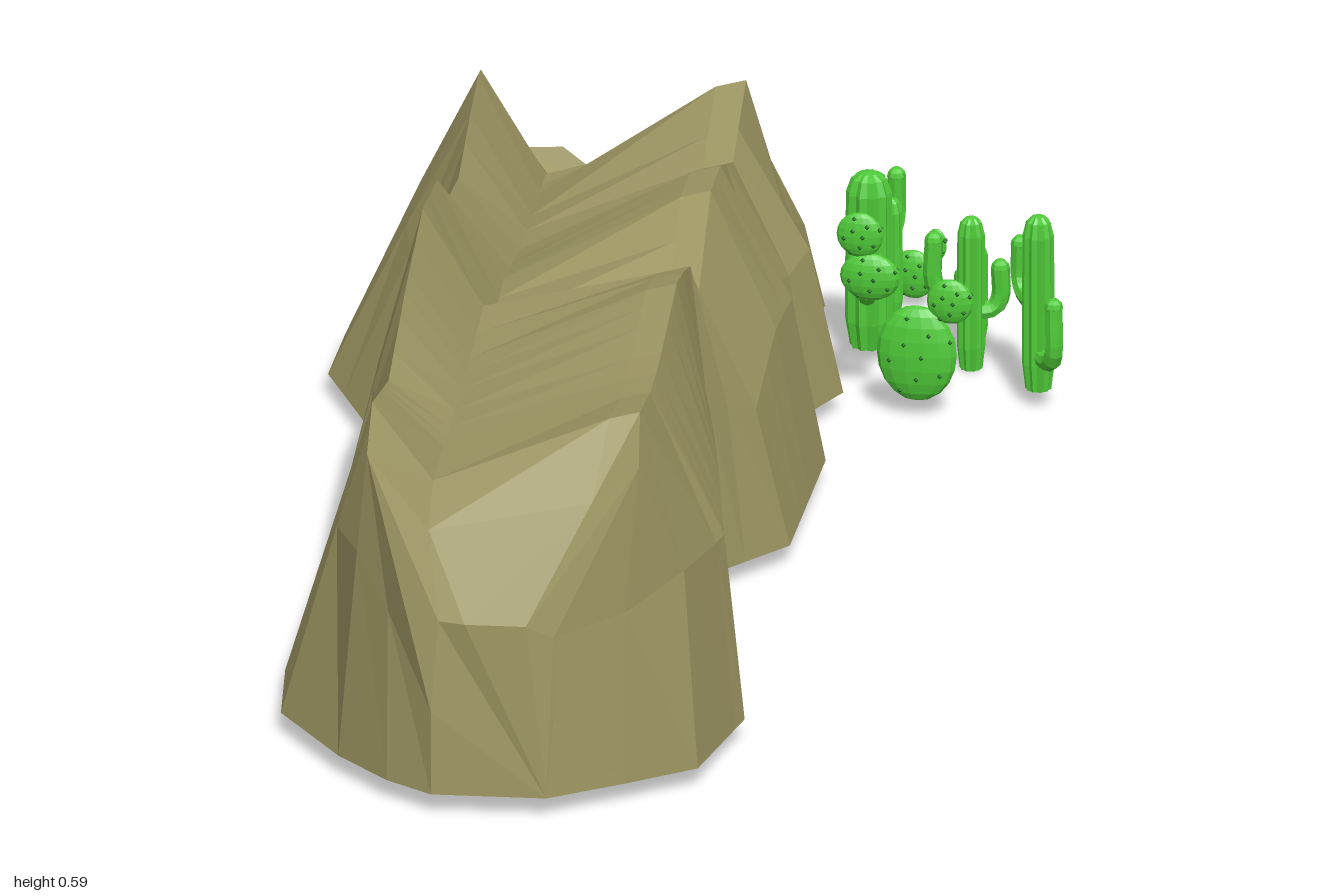
import * as THREE from 'three';

const rockMat = new THREE.MeshStandardMaterial({ color: 0xa09864, flatShading: true });
const greenMat = new THREE.MeshStandardMaterial({ color: 0x4fca38, flatShading: true });
const spotMat = new THREE.MeshStandardMaterial({ color: 0x1d6a1c });

// Piecewise linear lookup in a list of [s, value]
function at(keys, s) {
  if (s <= keys[0][0]) return keys[0][1];
  for (let i = 1; i < keys.length; i++) {
    const [a, va] = keys[i - 1], [b, vb] = keys[i];
    if (s <= b) return va + (vb - va) * (s - a) / (b - a);
  }
  return keys[keys.length - 1][1];
}

// Rock outline, ridge and gully heights along its diagonal axis (s along, t across)
const frontBase = [[-0.98, 0.23], [-0.78, 0.28], [-0.73, 0.21], [-0.55, 0.24], [-0.42, 0.22], [-0.21, 0.18],
  [-0.09, 0.28], [0.25, 0.3], [0.34, 0.21], [0.52, 0.3], [0.64, 0.23], [0.86, 0.24]];
const frontMid = [[-0.98, 0.21], [-0.78, 0.25], [-0.55, 0.22], [-0.21, 0.17], [-0.09, 0.23], [0.25, 0.25],
  [0.34, 0.2], [0.52, 0.25], [0.64, 0.2], [0.86, 0.21]];
const backBase = [[-0.98, -0.3], [-0.82, -0.4], [-0.65, -0.41], [-0.48, -0.29], [-0.32, -0.39], [-0.16, -0.39],
  [0.02, -0.29], [0.19, -0.38], [0.34, -0.39], [0.52, -0.46], [0.68, -0.45], [0.86, -0.28]];
const frontRidge = [[-0.98, 0.59], [-0.85, 0.56], [-0.7, 0.55], [-0.42, 0.57], [-0.23, 0.53], [-0.09, 0.42],
  [0.1, 0.51], [0.25, 0.49], [0.44, 0.42], [0.64, 0.47], [0.74, 0.36], [0.86, 0.27]];
const backRidge = [[-0.98, 0.59], [-0.73, 0.525], [-0.48, 0.565], [-0.21, 0.59], [0.02, 0.545], [0.19, 0.45],
  [0.34, 0.42], [0.52, 0.45], [0.67, 0.465], [0.74, 0.4], [0.86, 0.26]];
const gullyFloor = [[-0.98, 0.47], [-0.5, 0.44], [-0.21, 0.44], [-0.09, 0.36], [0.1, 0.36], [0.34, 0.31],
  [0.74, 0.27], [0.86, 0.21]];

function rockRows() {
  const stations = [...new Set([...frontBase, ...backBase, [0.1], [0.44], [0.74]].map(k => k[0]))].sort((a, b) => a - b);
  const rows = stations.map(s => {
    const b = at(backBase, s), fy = at(frontRidge, s), by = at(backRidge, s);
    return [[s, at(frontBase, s), 0.03], [s, at(frontMid, s), fy * 0.58], [s, 0.145, fy], [s, 0.1, fy - 0.012],
      [s, -0.16, at(gullyFloor, s)], [s, -0.25, by], [s, -0.25 + (b + 0.25) * 0.45, by * 0.6], [s, b, 0.03]];
  });
  // Broken ends where the gully opens
  rows.unshift(
    [[-1.12, 0.02, 0.03], [-1.11, 0.03, 0.15], [-1.11, 0.03, 0.28], [-1.12, -0.01, 0.3],
      [-1.12, -0.1, 0.3], [-1.11, -0.14, 0.3], [-1.12, -0.15, 0.16], [-1.12, -0.15, 0.03]],
    [[-1.05, 0.13, 0.03], [-1.05, 0.13, 0.3], [-1.05, 0.15, 0.53], [-1.05, 0.08, 0.47],
      [-1.05, -0.16, 0.42], [-1.06, -0.25, 0.54], [-1.05, -0.22, 0.29], [-1.07, -0.22, 0.03]]);
  rows.push([[0.93, 0.02, 0.03], [0.92, 0.02, 0.1], [0.91, 0.03, 0.17], [0.91, -0.01, 0.19],
    [0.91, -0.08, 0.19], [0.9, -0.15, 0.25], [0.93, -0.16, 0.13], [0.955, -0.14, 0.03]]);
  return rows;
}

function makeRock() {
  const rows = rockRows(), n = 8, pos = [], index = [];
  for (const row of rows) for (const [s, t, y] of row) pos.push(0.8 * s + 0.6 * t, y, -0.6 * s + 0.8 * t);
  for (let r = 0; r < rows.length - 1; r++) for (let k = 0; k < n; k++) {
    const a = r * n + k, b = r * n + (k + 1) % n;
    index.push(a, a + n, b, b, a + n, b + n);
  }
  const last = (rows.length - 1) * n;
  for (let k = 1; k < n - 1; k++) index.push(0, k, k + 1, last, last + k + 1, last + k);
  const geo = new THREE.BufferGeometry();
  geo.setAttribute('position', new THREE.Float32BufferAttribute(pos, 3));
  geo.setIndex(index);
  const flat = geo.toNonIndexed();
  flat.computeVertexNormals();
  const mesh = new THREE.Mesh(flat, rockMat);
  mesh.name = 'rockRidge';
  return mesh;
}

function add(group, name, geo, mat, x = 0, y = 0, z = 0) {
  const mesh = new THREE.Mesh(geo, mat);
  mesh.name = name;
  mesh.position.set(x, y, z);
  group.add(mesh);
  return mesh;
}

// Upright stem with lengthwise ribs and a domed top
function ribbedStem(r, h) {
  const profile = [[0, 0], [0.8, 0], [1, 0.15], [1, 0.5], [0.97, 0.88], [0.75, 0.96], [0.4, 0.99], [0, 1]];
  const geo = new THREE.LatheGeometry(profile.map(([a, b]) => new THREE.Vector2(a * r, b * h)), 20);
  const p = geo.attributes.position;
  for (let i = 0; i < p.count; i++) {
    const k = Math.floor(i / profile.length) % 2 ? 0.84 : 1;
    p.setX(i, p.getX(i) * k);
    p.setZ(i, p.getZ(i) * k);
  }
  geo.computeVertexNormals();
  return geo;
}

// Column cactus; each arm is [reach x, reach z, elbow height, tip height]
function columnCactus(name, x, y, z, r, h, arms, armR = 0.014) {
  const g = new THREE.Group();
  g.name = name;
  g.position.set(x, y, z);
  add(g, 'stem', ribbedStem(r, h), greenMat);
  for (const [ax, az, y0, y1] of arms) {
    const path = new THREE.CatmullRomCurve3([
      new THREE.Vector3(0, y0, 0), new THREE.Vector3(ax * 0.75, y0 + 0.003, az * 0.75),
      new THREE.Vector3(ax, y0 + 0.02, az), new THREE.Vector3(ax, y1 - armR, az)]);
    add(g, 'arm', new THREE.TubeGeometry(path, 10, armR, 8), greenMat);
    add(g, 'armTip', new THREE.SphereGeometry(armR, 8, 6), greenMat, ax, y1 - armR, az);
  }
  return g;
}

// Flat-padded cactus; each pad is [offset along the plane, height, half width, half height]
function padCactus(name, x, z, angle, pads) {
  const g = new THREE.Group();
  g.name = name;
  g.position.set(x, 0, z);
  g.rotation.y = angle;
  for (const [u, y, w, h] of pads) {
    const d = w * 0.35;
    add(g, 'pad', new THREE.SphereGeometry(1, 14, 10), greenMat, u, y, 0).scale.set(w, h, d);
    for (const side of [-1, 1]) for (let i = 0; i < 9; i++) {
      const q = Math.sqrt((i + 0.3) / 10), a = i * 2.4;
      const px = q * Math.cos(a), py = q * Math.sin(a);
      add(g, 'spine', new THREE.OctahedronGeometry(0.004), spotMat,
        u + px * w, y + py * h, side * d * Math.sqrt(1 - q * q));
    }
  }
  return g;
}

export function createModel() {
  const model = new THREE.Group();
  model.name = 'rockWithCacti';
  model.add(
    makeRock(),
    padCactus('largePadCactus', 0.655, 0.02, -1.03, [[0, 0.1, 0.06, 0.075], [0.05, 0.185, 0.035, 0.035],
      [-0.07, 0.215, 0.045, 0.037], [-0.085, 0.28, 0.035, 0.035]]),
    padCactus('smallPadCactus', 0.965, -0.27, -1.1, [[0, 0.055, 0.034, 0.038], [0.035, 0.105, 0.016, 0.025],
      [-0.035, 0.09, 0.016, 0.022], [-0.045, 0.14, 0.013, 0.02]]),
    columnCactus('barrelColumn', 0.77, 0.025, -0.18, 0.035, 0.275, [[-0.043, 0.035, 0.09, 0.2]]),
    columnCactus('armedColumn', 0.88, 0.02, -0.24, 0.02, 0.19, [[-0.04, 0.02, 0.06, 0.13], [0.04, -0.022, 0.13, 0.22]]),
    columnCactus('shortColumn', 0.925, 0.01, -0.11, 0.019, 0.15, [[-0.015, -0.015, 0.06, 0.11]], 0.01),
    columnCactus('middleColumn', 0.85, 0, -0.05, 0.021, 0.24, [[-0.045, -0.033, 0.12, 0.22], [0.033, 0.028, 0.09, 0.17]]),
    columnCactus('tallColumn', 0.81, 0.025, 0.12, 0.024, 0.275, [[-0.027, 0.055, 0.055, 0.165], [0.024, -0.058, 0.13, 0.22]]));
  return model;
}
